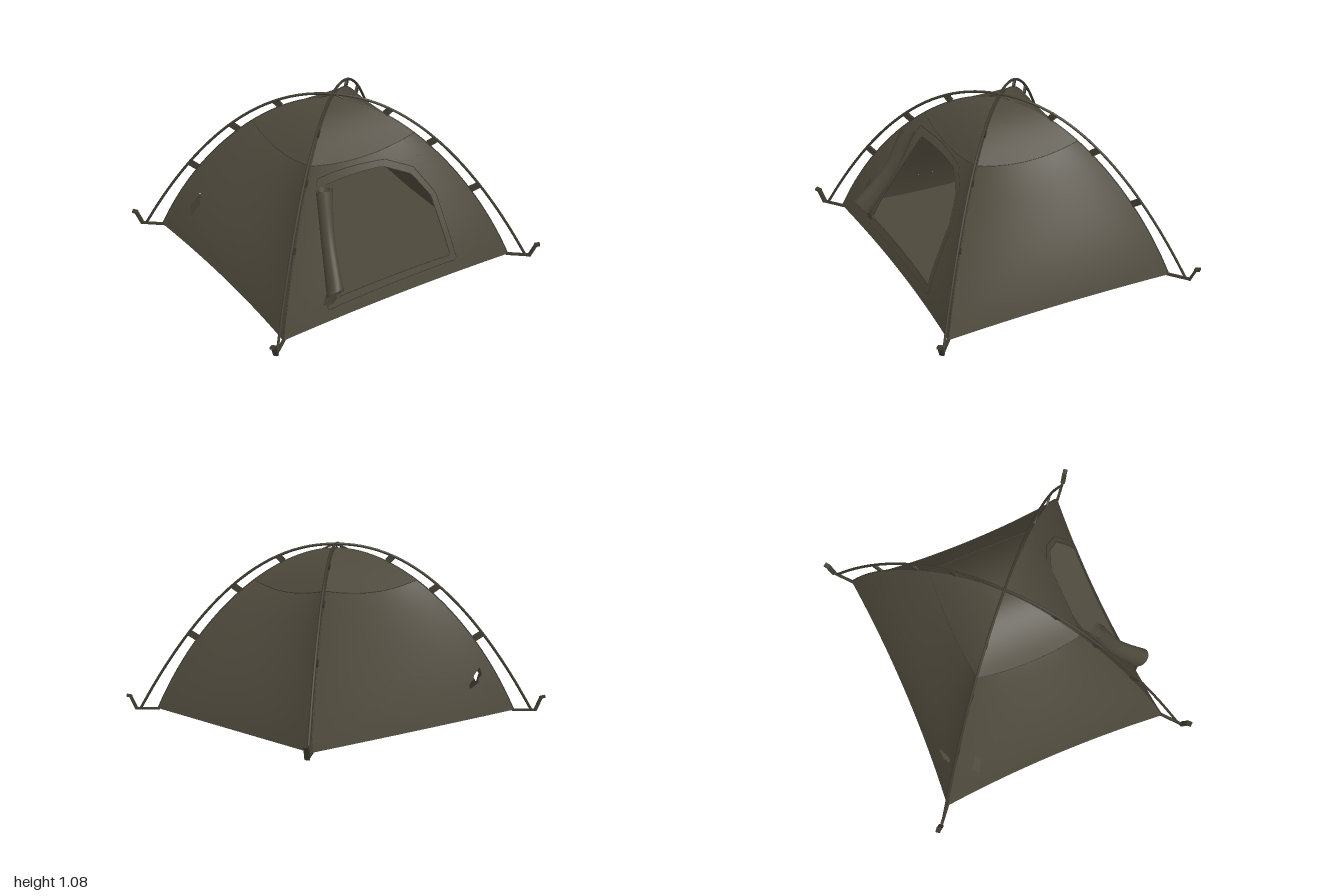
import * as THREE from 'three';
import { mergeVertices } from 'three/addons/utils/BufferGeometryUtils.js';

const V = (x, y, z) => new THREE.Vector3(x, y, z);
const KZ = 0.905; // depth of the plan relative to its width
const BASE = 0.02, TOP = 1.05;

// Half width of the tent at a height, measured at the corner ridge
function halfWidth(y) {
  const h = Math.max(0, (TOP - y) / (TOP - BASE));
  return 0.84 * Math.pow(h, 0.51 - 0.11 * h);
}

// Point on one of the four walls; s runs along the wall, drop lowers and bulge pushes out its middle
function wallPoint(side, s, y, drop, bulge) {
  const w = halfWidth(y) * (side % 2 ? KZ : 1);
  const e = w > 1e-5 ? Math.max(0, 1 - (s / w) ** 2) : 0;
  const yy = y - drop * e;
  const d = halfWidth(yy) * (side % 2 ? 1 : KZ) + bulge * e;
  const c = Math.round(Math.cos(side * Math.PI / 2)), n = Math.round(Math.sin(side * Math.PI / 2));
  return V(s * c + d * n, yy, -s * n + d * c);
}

// The lower walls hang slack between the ridges
const lowerPoint = (side, s, y) => {
  const t = (y - BASE) / 0.83;
  return wallPoint(side, s, y, 0.016 * Math.max(0, 1 - 3 * t), -0.045 - 0.05 * THREE.MathUtils.smoothstep(t, 0, 0.75));
};
const capPoint = (side, s, y) => {
  const t = Math.min(1, (TOP - y) / 0.2);
  return wallPoint(side, s, y, 0.04 * t * t, -0.016 * t);
};

function fromTriangles(points) {
  let g = new THREE.BufferGeometry().setFromPoints(points);
  g = mergeVertices(g, 1e-5);
  g.computeVertexNormals();
  return g;
}

// Edges [left, right] of a gap at a height; a gap is a list of [y, left, right]
function gapAt(gap, y) {
  let i = 0;
  while (i < gap.length - 2 && y > gap[i + 1][0]) i++;
  const [a, b] = [gap[i], gap[i + 1]], t = (y - a[0]) / (b[0] - a[0]);
  return [a[1] + (b[1] - a[1]) * t, a[2] + (b[2] - a[2]) * t];
}

// Fabric wall built row by row, leaving out the gaps
function wallGeometry(side, levels, point, gaps = []) {
  const ys = [...new Set([...levels, ...gaps.flatMap(g => g.map(r => r[0]))])].sort((a, b) => a - b);
  const pts = [];
  for (let i = 0; i < ys.length - 1; i++) {
    const mid = (ys[i] + ys[i + 1]) / 2;
    const active = gaps.filter(g => mid > g[0][0] && mid < g[g.length - 1][0]);
    const cuts = y => {
      const w = halfWidth(y) * (side % 2 ? KZ : 1);
      return [-w, ...active.flatMap(g => gapAt(g, y)), w];
    };
    const lo = cuts(ys[i]), hi = cuts(ys[i + 1]), n = active.length ? 12 : 24;
    for (let k = 0; k < lo.length; k += 2) {
      const at = (c, j, y) => point(side, c[k] + (c[k + 1] - c[k]) * j / n, y);
      for (let j = 0; j < n; j++) {
        const a = at(lo, j, ys[i]), b = at(lo, j + 1, ys[i]);
        const c = at(hi, j + 1, ys[i + 1]), d = at(hi, j, ys[i + 1]);
        pts.push(a, b, c, a, c, d);
      }
    }
  }
  return fromTriangles(pts);
}

// Surface through a grid of points
function gridGeometry(nu, nv, f) {
  const pts = [];
  for (let i = 0; i < nu; i++) for (let j = 0; j < nv; j++) {
    const a = f(i / nu, j / nv), b = f((i + 1) / nu, j / nv);
    const c = f((i + 1) / nu, (j + 1) / nv), d = f(i / nu, (j + 1) / nv);
    pts.push(a, b, c, a, c, d);
  }
  return fromTriangles(pts);
}

export function createModel() {
  const model = new THREE.Group();
  const fabric = new THREE.MeshStandardMaterial({ color: 0x4d483b, side: THREE.DoubleSide });
  fabric.name = 'olive canvas';
  const dark = new THREE.MeshStandardMaterial({ color: 0x3d392e, side: THREE.DoubleSide });
  dark.name = 'dark olive trim';
  const add = (name, geo, mat) => {
    const m = new THREE.Mesh(geo, mat);
    m.name = name;
    model.add(m);
    return m;
  };
  const tube = (name, points, r, n, mat) =>
    add(name, new THREE.TubeGeometry(new THREE.CatmullRomCurve3(points), n, r, 8), mat);
  // Flat bar between two points
  const bar = (name, a, b, width, height) => {
    const m = add(name, new THREE.BoxGeometry(width, height, a.distanceTo(b)), dark);
    m.position.copy(a).lerp(b, 0.5);
    m.lookAt(b);
  };

  // Walls with the doorway and three tears
  const door = [[0.135, -0.45, 0.42], [0.3, -0.42, 0.402], [0.49, -0.375, 0.38],
    [0.63, -0.34, 0.29], [0.68, -0.325, 0.2], [0.705, -0.318, 0.12], [0.72, -0.31, -0.1]];
  const gaps = [
    [[[0.19, -0.615, -0.61], [0.215, -0.635, -0.59], [0.235, -0.655, -0.585], [0.25, -0.635, -0.575],
      [0.27, -0.65, -0.59], [0.285, -0.63, -0.58], [0.32, -0.62, -0.615]], door],
    [],
    [[[0.19, 0.52, 0.53], [0.215, 0.53, 0.6], [0.24, 0.57, 0.61], [0.26, 0.58, 0.645], [0.3, 0.635, 0.64]]],
    [[[0.18, -0.505, -0.5], [0.24, -0.545, -0.48], [0.28, -0.52, -0.465], [0.34, -0.5, -0.495]]],
  ];
  const lowerLevels = Array.from({ length: 21 }, (_, i) => BASE + 0.83 * i / 20);
  const capLevels = Array.from({ length: 13 }, (_, i) => TOP - 0.2 * (i / 12) ** 2);
  ['front', 'left', 'back', 'right'].forEach((n, k) => {
    add(n + 'Wall', wallGeometry(k, lowerLevels, lowerPoint, gaps[k]), fabric);
    add(n + 'RoofPanel', wallGeometry(k, capLevels, capPoint), fabric);
    // Hem along the lower edge of the roof panel
    const hem = Array.from({ length: 17 }, (_, i) =>
      capPoint(k, (i / 8 - 1) * halfWidth(0.85) * (k % 2 ? KZ : 1), 0.85));
    tube(n + 'RoofHem', hem, 0.0025, 24, dark);
  });

  // Floor follows the lower edges of the walls
  const floor = [];
  for (let k = 0; k < 4; k++) for (let i = 0; i < 24; i++) {
    const w = halfWidth(BASE) * (k % 2 ? KZ : 1);
    const p = j => lowerPoint(k, (j / 12 - 1) * w, BASE);
    floor.push(V(0, 0.012, 0), p(i + 1), p(i));
  }
  add('floor', fromTriangles(floor), fabric);

  // Raised band around the doorway
  const inner = [[-0.45, 0.135], [0.42, 0.135], [0.38, 0.49], [0.29, 0.63], [0.12, 0.705], [-0.31, 0.72]];
  const outer = [[-0.5, 0.09], [0.46, 0.1], [0.415, 0.5], [0.315, 0.665], [0.15, 0.735], [-0.36, 0.77]];
  const along = (list, t, out) => {
    const f = (t % 1) * 6, i = Math.floor(f), a = list[i], b = list[(i + 1) % 6], m = f - i;
    const p = lowerPoint(0, a[0] + (b[0] - a[0]) * m, a[1] + (b[1] - a[1]) * m);
    return p.add(V(0, out * 0.3, out));
  };
  add('doorBand', gridGeometry(72, 1, (u, v) => along(v < 0.5 ? outer : inner, u, 0.009)), fabric);
  const rim = (name, list) => {
    const pts = Array.from({ length: 72 }, (_, i) => along(list, i / 72, 0.008));
    add(name, new THREE.TubeGeometry(new THREE.CatmullRomCurve3(pts, true), 96, 0.003, 5, true), dark);
  };
  rim('doorInnerSeam', inner);
  rim('doorOuterSeam', outer);

  // Door flap rolled up beside the doorway, a spiral with a slanted lower end
  const axis = new THREE.CatmullRomCurve3([V(-0.367, 0.745, 0.465), V(-0.412, 0.47, 0.575), V(-0.475, 0.2, 0.752)]);
  add('rolledDoorFlap', gridGeometry(14, 40, (u, v) => {
    const a = v * Math.PI * 3.4, r = 1 - 0.45 * v;
    const width = 0.056 - 0.014 * Math.sin(u * Math.PI);
    return axis.getPoint(u).add(V(
      Math.cos(a) * r * width,
      Math.sin(a) * r * (0.01 + 0.06 * u * u),
      Math.sin(a) * r * 0.055));
  }), fabric);
  // Loose corner of the flap under the roll
  add('flapCorner', gridGeometry(4, 4, (u, v) =>
    V(-0.515 + 0.09 * u - 0.01 * v, 0.24 - 0.13 * v, 0.73 - 0.03 * v + 0.015 * Math.sin(u * Math.PI))), fabric);

  // Two arched poles crossing over the top
  const poleAt = q => V(0.925 * q, 1.075 - 1.055 * Math.pow(Math.abs(q), 2.13), 0.83 * q);
  for (const m of [1, -1]) {
    const pts = Array.from({ length: 25 }, (_, i) => poleAt(i / 12 - 1).multiply(V(m, 1, 1)));
    tube('pole', pts, 0.0085, 64, dark);
  }

  for (const sx of [1, -1]) for (const sz of [1, -1]) {
    const mirror = p => p.multiply(V(sx, 1, sz));
    const ridge = y => V(halfWidth(y), y, halfWidth(y) * KZ);

    // Binding along the corner ridge
    const seam = Array.from({ length: 21 }, (_, i) => mirror(ridge(TOP - (TOP - BASE) * (i / 20) ** 2)));
    tube('ridgeBinding', seam, 0.0035, 40, dark);

    // Clips joining ridge and pole
    for (const q of [0.745, 0.52, 0.29]) {
      bar('poleClip', mirror(ridge(poleAt(q).y - 0.035)), mirror(poleAt(q)), 0.014, 0.04);
    }
    // Strap from the crossing of the poles to the roof
    tube('topStrap', [V(0, 1.072, 0), mirror(V(0.035, 1.058, 0.032)), mirror(V(0.07, 1.036, 0.063))], 0.005, 6, dark);

    // Corner strap and ground peg with its bent tip
    bar('cornerStrap', mirror(V(0.83, 0.02, 0.752)), mirror(V(0.95, 0.02, 0.852)), 0.018, 0.012);
    bar('groundPeg', mirror(V(0.943, 0.018, 0.847)), mirror(V(0.972, 0.1, 0.871)), 0.03, 0.016);
    bar('pegTip', mirror(V(0.964, 0.098, 0.865)), mirror(V(0.991, 0.106, 0.886)), 0.03, 0.014);
  }
  return model;
}
